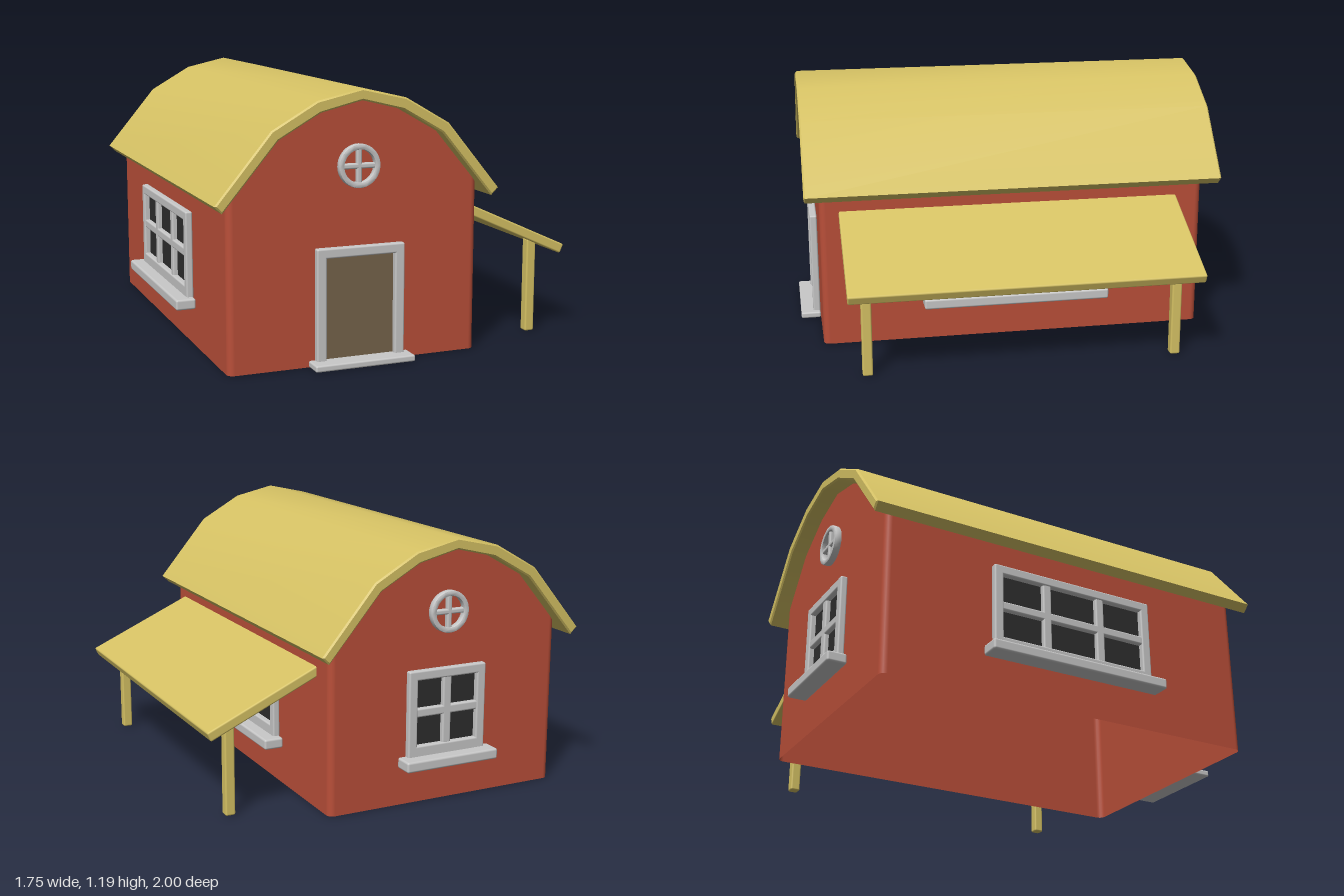
import * as THREE from 'three';
import { toCreasedNormals } from 'three/addons/utils/BufferGeometryUtils.js';
import { RoundedBoxGeometry } from 'three/addons/geometries/RoundedBoxGeometry.js';

const CX = -0.205, HW = 0.575, HD = 0.905; // barn centre line, half width, half depth

const mat = (name, color, side = THREE.FrontSide) => {
  const m = new THREE.MeshStandardMaterial({ color, side });
  m.name = name;
  return m;
};

export function createModel() {
  const red = mat('barn red', 0xba4f39, THREE.DoubleSide);
  const straw = mat('straw yellow', 0xd6c264);
  const trim = mat('trim grey', 0xc8c8c8);
  const brown = mat('door brown', 0x76644c);
  const dark = mat('glass dark', 0x2e2e2e);

  const model = new THREE.Group();
  model.name = 'barn';

  const add = (parent, name, geometry, material, x = 0, y = 0, z = 0) => {
    const mesh = new THREE.Mesh(geometry, material);
    mesh.name = name;
    mesh.position.set(x, y, z);
    parent.add(mesh);
    return mesh;
  };
  // Softly rounded block given by its limits
  const block = (parent, name, material, x0, x1, y0, y1, z0, z1, r = 0.008) =>
    add(parent, name, new RoundedBoxGeometry(x1 - x0, y1 - y0, z1 - z0, 2, r), material,
      (x0 + x1) / 2, (y0 + y1) / 2, (z0 + z1) / 2);
  const group = (name, x, y, z, turn = 0) => {
    const g = new THREE.Group();
    g.name = name;
    g.position.set(x, y, z);
    g.rotation.y = turn;
    model.add(g);
    return g;
  };

  // Half profiles of the arched roof, from ridge to eave, relative to the centre line
  const outer = [[0, 1.19], [0.2, 1.145], [0.4, 1.03], [0.645, 0.735]];
  const inner = [[0, 1.14], [0.185, 1.095], [0.37, 0.99], [0.612, 0.703]];
  const mirrored = (half) => [
    ...half.slice(1).reverse().map(([x, y]) => [-x, y]),
    ...half,
  ];

  // Arched roof
  const roofShape = new THREE.Shape(
    [...mirrored(outer), ...mirrored(inner).reverse()].map(([x, y]) => new THREE.Vector2(x, y)));
  const bevel = 0.007, roofLength = 1.955;
  const roofGeo = new THREE.ExtrudeGeometry(roofShape, {
    depth: roofLength - 2 * bevel, bevelThickness: bevel, bevelSize: bevel,
    bevelOffset: -bevel, bevelSegments: 1,
  });
  roofGeo.translate(0, 0, bevel - roofLength / 2);
  add(model, 'roof', toCreasedNormals(roofGeo, 0.6), straw, CX, 0, -0.004);

  // Walls: an open shell on a rounded plan, its top following the roof underside
  const wallTop = (x) => {
    const ax = Math.abs(x);
    let i = 0;
    while (i < 2 && ax > inner[i + 1][0]) i++;
    const [a, b] = [inner[i], inner[i + 1]];
    return a[1] + (b[1] - a[1]) * (ax - a[0]) / (b[0] - a[0]) + 0.01;
  };
  const plan = [];
  const r = 0.03, steps = 5;
  const corners = [[1, 1], [-1, 1], [-1, -1], [1, -1]];
  corners.forEach(([sx, sz], c) => {
    for (let i = 0; i <= steps; i++) {
      const a = (c + i / steps) * Math.PI / 2;
      plan.push([sx * (HW - r) + r * Math.cos(a), sz * (HD - r) + r * Math.sin(a),
        Math.cos(a), Math.sin(a)]);
    }
    if (c % 2 === 0) {
      for (const x of [0.37, 0.185, 0, -0.185, -0.37]) plan.push([x * sx, sz * HD, 0, sz]);
    }
  });
  const positions = [], normals = [], index = [];
  plan.forEach(([x, z, nx, nz], i) => {
    positions.push(x, 0, z, x, wallTop(x), z);
    normals.push(nx, 0, nz, nx, 0, nz);
    const a = 2 * i, b = 2 * ((i + 1) % plan.length);
    index.push(a, a + 1, b, b, a + 1, b + 1);
  });
  const wallGeo = new THREE.BufferGeometry();
  wallGeo.setAttribute('position', new THREE.Float32BufferAttribute(positions, 3));
  wallGeo.setAttribute('normal', new THREE.Float32BufferAttribute(normals, 3));
  wallGeo.setIndex(index);
  add(model, 'walls', wallGeo, red, CX, 0, 0);

  // Lean-to roof, hung by its outer top edge
  const leanLength = 0.565, leanThick = 0.045, tilt = -0.425;
  const leanGeo = new RoundedBoxGeometry(leanLength, leanThick, 1.597, 2, 0.008);
  leanGeo.translate(-leanLength / 2, -leanThick / 2, 0);
  add(model, 'leanToRoof', leanGeo, straw, 0.877, 0.416, 0.018).rotation.z = tilt;
  for (const z of [0.731, -0.678]) {
    block(model, 'leanToPost', straw, 0.72, 0.766, 0, 0.44, z - 0.023, z + 0.023);
  }

  // Framed windows; each is built facing +z with its back on the wall
  const addWindow = (name, width, mullions, x, z, turn) => {
    const g = group(name, x, 0, z, turn);
    const h = width / 2, y0 = 0.215, y1 = 0.612, t = 0.044, d = 0.034;
    add(g, 'glass', new THREE.BoxGeometry(width - t, y1 - y0 - t, 0.006), dark,
      0, (y0 + y1) / 2, 0.005);
    for (const s of [-1, 1]) {
      const c = s * (h - t / 2);
      block(g, 'frameSide', trim, c - t / 2, c + t / 2, y0, y1, 0.001, d);
    }
    block(g, 'frameTop', trim, -h, h, y1 - t, y1, 0.001, d);
    block(g, 'frameBottom', trim, -h, h, y0, 0.27, 0.001, d);
    for (const m of mullions) {
      block(g, 'mullion', trim, m - 0.021, m + 0.021, 0.25, y1 - 0.02, 0.001, d - 0.004);
    }
    block(g, 'crossBar', trim, -h + 0.02, h - 0.02, 0.4, 0.44, 0.001, d - 0.004);
    block(g, 'sill', trim, -h - 0.037, h + 0.037, 0.174, 0.223, 0.001, 0.093, 0.01);
  };
  addWindow('rightWindow', 0.803, [-0.137, 0.137], CX - HW, 0, -Math.PI / 2);
  addWindow('leftWindow', 0.803, [-0.137, 0.137], CX + HW, 0, Math.PI / 2);
  addWindow('backWindow', 0.39, [0], -0.197, -HD, Math.PI);

  // Round gable windows: a ring with a cross
  const ringShape = new THREE.Shape().absarc(0, 0, 0.094, 0, Math.PI * 2);
  ringShape.holes.push(new THREE.Path().absarc(0, 0, 0.07, 0, Math.PI * 2, true));
  const ringGeo = toCreasedNormals(new THREE.ExtrudeGeometry(ringShape, {
    depth: 0.022, bevelThickness: 0.006, bevelSize: 0.006, bevelOffset: -0.006,
    bevelSegments: 2, curveSegments: 20,
  }), 0.6);
  for (const s of [1, -1]) {
    const g = group(s > 0 ? 'frontRoundWindow' : 'backRoundWindow', -0.201, 0.86, s * HD,
      s > 0 ? 0 : Math.PI);
    add(g, 'ring', ringGeo, trim, 0, 0, 0.007);
    block(g, 'crossBar', trim, -0.078, 0.078, -0.012, 0.012, 0.001, 0.028);
    block(g, 'uprightBar', trim, -0.012, 0.012, -0.078, 0.078, 0.001, 0.028);
  }

  // Front door with frame and step
  const door = group('door', -0.193, 0, HD);
  add(door, 'doorPanel', new THREE.BoxGeometry(0.34, 0.49, 0.008), brown, 0, 0.25, 0.006);
  for (const s of [-1, 1]) {
    const c = s * 0.18;
    block(door, 'doorJamb', trim, c - 0.0225, c + 0.0225, 0.005, 0.518, 0.001, 0.036);
  }
  block(door, 'doorLintel', trim, -0.2025, 0.2025, 0.474, 0.518, 0.001, 0.036);
  block(door, 'doorStep', trim, -0.23, 0.23, 0.002, 0.031, 0.001, 0.095);

  return model;
}
